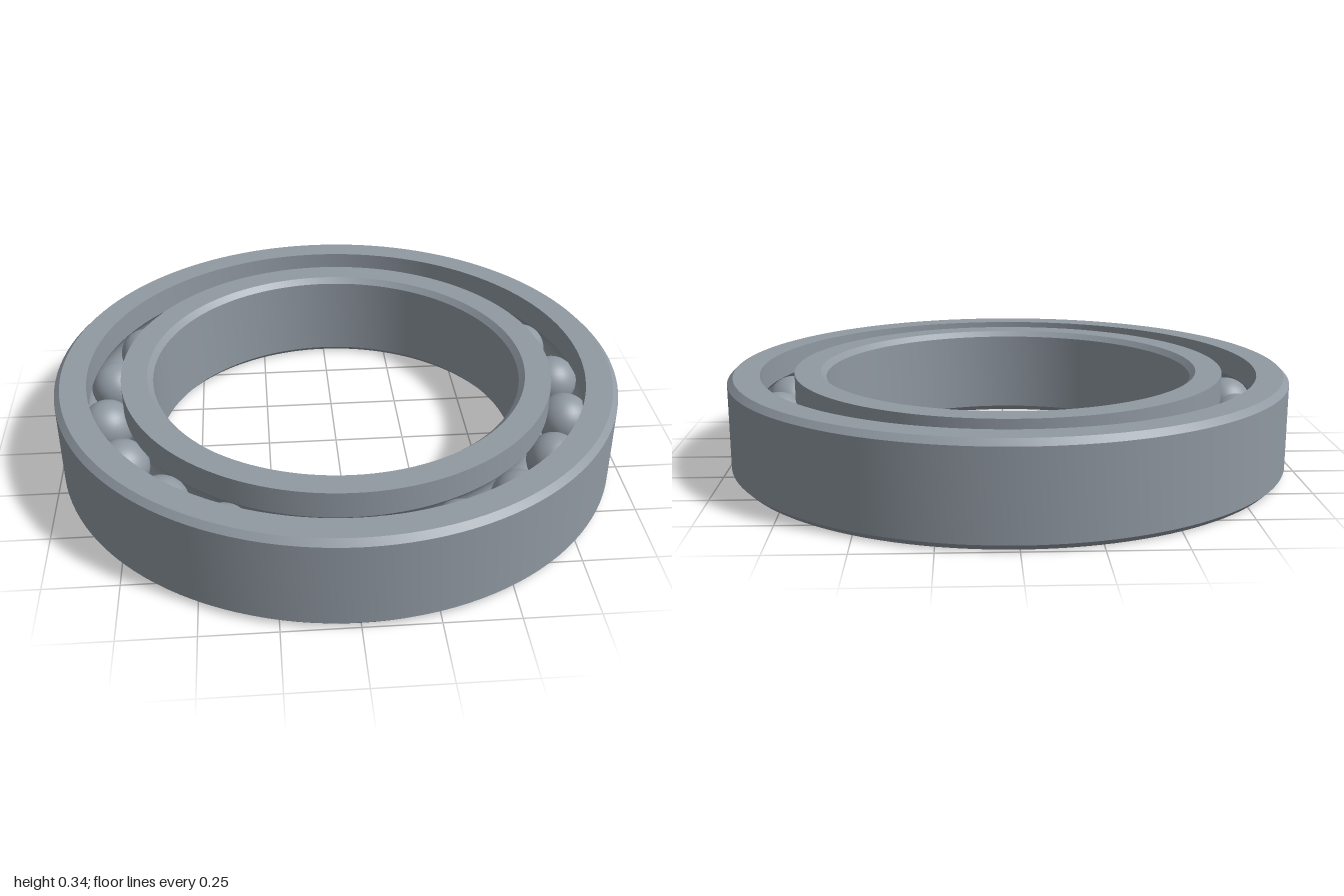
import * as THREE from 'three';
import { toCreasedNormals } from 'three/addons/utils/BufferGeometryUtils.js';

const H = 0.338, MID = H / 2;        // ring height and mid plane
const PITCH = 0.827;                 // radius of the circle of balls
const BALL_R = 0.094, GROOVE_R = 0.096;
const BALLS = 20, HALF_GAP = 0.06;   // half the gap between the rings
const CH = 0.02;                     // chamfer

// Raceway arc in the (radius, y) plane
function raceway(from, to, steps = 14) {
  return Array.from({ length: steps + 1 }, (_, i) => {
    const a = from + (to - from) * i / steps;
    return [PITCH + GROOVE_R * Math.cos(a), MID + GROOVE_R * Math.sin(a)];
  });
}

// Closed counter-clockwise profile turned around y, with sharp edges kept
function ring(name, profile, material) {
  const points = [...profile, profile[0]].map(([r, y]) => new THREE.Vector2(r, y));
  const geometry = toCreasedNormals(new THREE.LatheGeometry(points, 128), 0.5);
  const mesh = new THREE.Mesh(geometry, material);
  mesh.name = name;
  return mesh;
}

export function createModel() {
  const steel = new THREE.MeshStandardMaterial({ color: 0x9099a2 });
  steel.name = 'steel';

  const group = new THREE.Group();
  group.name = 'ballBearing';
  const a = Math.acos(HALF_GAP / GROOVE_R);

  // Outer ring: chamfered outside, raceway inside
  const ro = 1, ri = PITCH + HALF_GAP;
  group.add(ring('outerRing', [
    [ro - CH, 0], [ro, CH], [ro, H - CH], [ro - CH, H],
    [ri, H], ...raceway(a, -a), [ri, 0],
  ], steel));

  // Inner ring: raceway outside, chamfered bore
  const so = PITCH - HALF_GAP, si = 0.655;
  group.add(ring('innerRing', [
    [so, 0], ...raceway(Math.PI + a, Math.PI - a), [so, H],
    [si + CH, H], [si, H - CH], [si, CH], [si + CH, 0],
  ], steel));

  // Balls
  const balls = new THREE.Group();
  balls.name = 'balls';
  const ballGeometry = new THREE.SphereGeometry(BALL_R, 32, 20);
  for (let i = 0; i < BALLS; i++) {
    const t = THREE.MathUtils.degToRad(12) + i * 2 * Math.PI / BALLS;
    const ball = new THREE.Mesh(ballGeometry, steel);
    ball.name = 'ball';
    ball.position.set(PITCH * Math.cos(t), MID, PITCH * Math.sin(t));
    balls.add(ball);
  }
  group.add(balls);
  return group;
}
